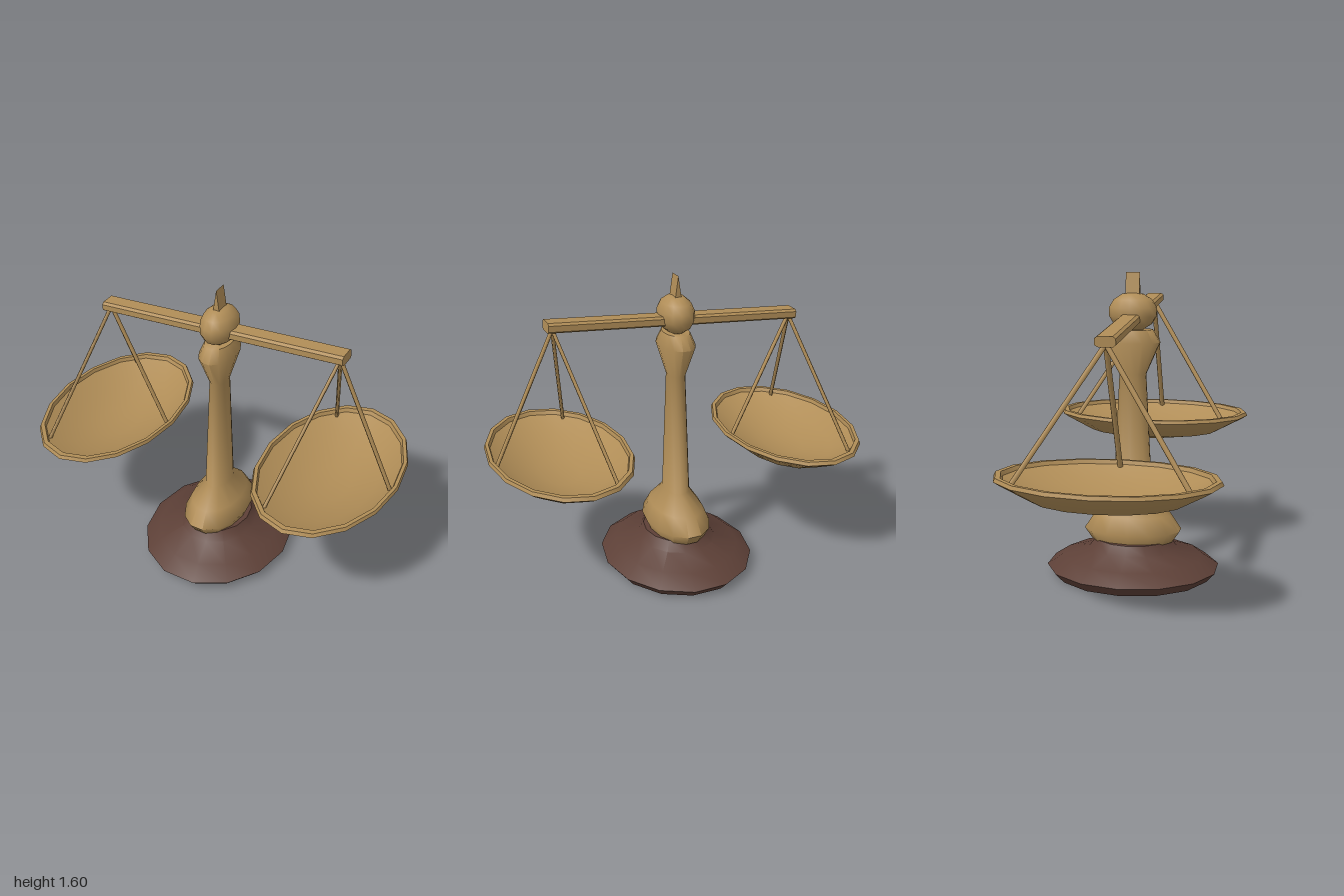
import * as THREE from 'three';
import { toCreasedNormals } from 'three/addons/utils/BufferGeometryUtils.js';

const brass = new THREE.MeshStandardMaterial({ color: 0xb08d57 });
brass.name = 'brass';
const wood = new THREE.MeshStandardMaterial({ color: 0x5d4037 });
wood.name = 'dark wood';

function part(name, geometry, material, parent) {
  const mesh = new THREE.Mesh(geometry, material);
  mesh.name = name;
  parent.add(mesh);
  return mesh;
}

// Turned shape from [radius, height] pairs, widened along z
function turned(profile, sides, zScale, crease, phase = 0) {
  const points = profile.map(([r, y]) => new THREE.Vector2(r, y));
  const g = new THREE.LatheGeometry(points, sides, phase).scale(1, 1, zScale);
  return toCreasedNormals(g, crease);
}

function rod(from, to, radius) {
  const g = new THREE.CylinderGeometry(radius, radius, from.distanceTo(to), 6);
  const dir = to.clone().sub(from).normalize();
  g.applyQuaternion(new THREE.Quaternion().setFromUnitVectors(new THREE.Vector3(0, 1, 0), dir));
  const mid = from.clone().add(to).multiplyScalar(0.5);
  return g.translate(mid.x, mid.y, mid.z);
}

// Oval dish hung on three rods; rimY is the height of its rim
function hangingPan(name, x, rimY, hookY) {
  const group = new THREE.Group();
  group.name = name;
  const dish = [[0, -0.15], [0.1, -0.15], [0.24, -0.115], [0.335, -0.037], [0.355, -0.018],
    [0.349, 0], [0.332, 0], [0.326, -0.02], [0.23, -0.085], [0.1, -0.125], [0, -0.13]];
  part('pan', turned(dish, 16, 1, 0.6), brass, group);
  for (let i = 0; i < 3; i++) {
    const a = i * Math.PI * 2 / 3;
    const foot = new THREE.Vector3(0.315 * Math.cos(a), -0.03, 0.315 * Math.sin(a));
    part('panRod', rod(new THREE.Vector3(0, hookY - rimY, 0), foot, 0.009), brass, group);
  }
  group.position.set(x, rimY, 0);
  group.scale.z = 1.54;
  return group;
}

export function createModel() {
  const model = new THREE.Group();
  model.name = 'balanceScale';

  // Foot and column
  const foot = [[0, 0], [0.36, 0], [0.4, 0.05], [0.325, 0.107], [0.205, 0.15], [0.172, 0.2], [0, 0.2]];
  part('base', turned(foot, 14, 1.152, 0.7, Math.PI / 2), wood, model);
  const shaft = [[0, 0.19], [0.14, 0.19], [0.166, 0.25], [0.13, 0.335], [0.066, 0.43],
    [0.045, 1.08], [0.092, 1.245], [0.066, 1.31], [0, 1.31]];
  part('column', turned(shaft, 14, 1.57, 1.1, Math.PI / 2), brass, model);

  // Pivot ball with a wedge pointer on top
  part('pivotBall', new THREE.SphereGeometry(1, 14, 7).scale(0.092, 0.1, 0.127).translate(0, 1.4, 0), brass, model);
  const wedge = new THREE.Shape([[-0.018, 1.48], [0.018, 1.48], [0, 1.6]].map(([x, y]) => new THREE.Vector2(x, y)));
  part('pointer', new THREE.ExtrudeGeometry(wedge, { depth: 0.072, bevelEnabled: false }).translate(0, 0, -0.036), brass, model);

  // Tilted beam with chamfered edges
  const w = 0.05, h = 0.025, c = 0.014, d = 0.01;
  const section = new THREE.Shape([[-w, -h + d], [-w + c, -h], [w - c, -h], [w, -h + d],
    [w, h - d], [w - c, h], [-w + c, h], [-w, h - d]].map(([x, y]) => new THREE.Vector2(x, y)));
  const beam = part('beam', new THREE.ExtrudeGeometry(section, { depth: 1.34, bevelEnabled: false })
    .translate(0, 0, -0.67).rotateY(Math.PI / 2), brass, model);
  beam.rotation.z = 0.077;
  beam.position.set(0.003, 1.373, 0);

  // Raised left pan and lowered right pan
  model.add(hangingPan('leftPan', 0.64, 0.775, 1.405));
  model.add(hangingPan('rightPan', -0.645, 0.695, 1.31));
  return model;
}
